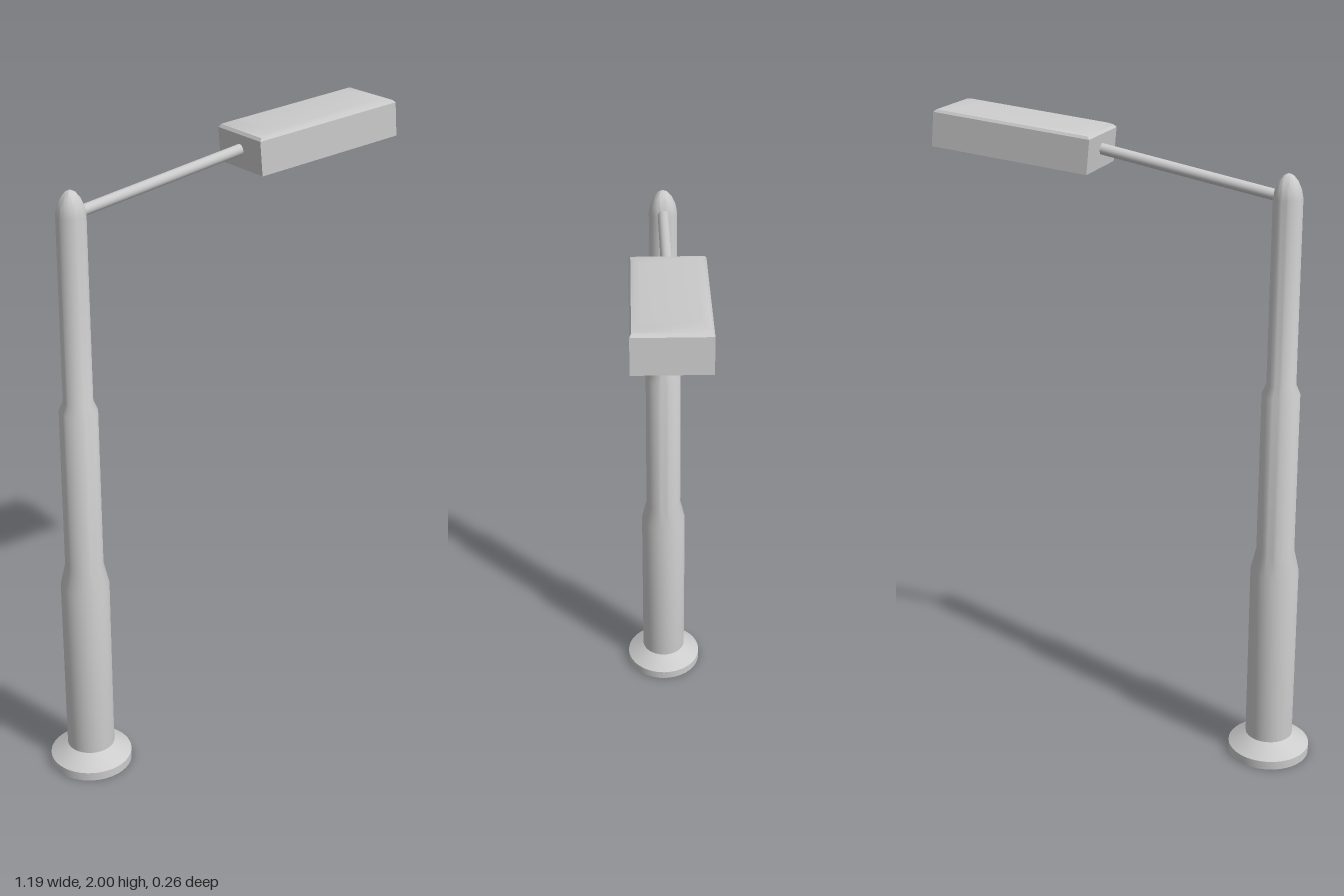
import * as THREE from 'three';
import { toCreasedNormals } from 'three/addons/utils/BufferGeometryUtils.js';

const material = new THREE.MeshStandardMaterial({ color: 0xcccccc });
const POLE_X = -0.47;

function addMesh(parent, name, geometry) {
  const mesh = new THREE.Mesh(geometry, material);
  mesh.name = name;
  parent.add(mesh);
  return mesh;
}

// Solid of revolution from [radius, height] pairs
function lathe(profile, crease) {
  const points = profile.map(([r, y]) => new THREE.Vector2(r, y));
  return toCreasedNormals(new THREE.LatheGeometry(points, 40), crease);
}

// Skin through rectangular rings [halfX, y, halfZ], closed by the first and last ring
function rectLoft(rings) {
  const positions = [];
  const index = [];
  for (const [hx, y, hz] of rings) {
    positions.push(-hx, y, hz, hx, y, hz, hx, y, -hz, -hx, y, -hz);
  }
  for (let r = 0; r < rings.length - 1; r++) {
    for (let i = 0; i < 4; i++) {
      const a = r * 4 + i, b = r * 4 + (i + 1) % 4;
      index.push(a, b, b + 4, a, b + 4, a + 4);
    }
  }
  const t = (rings.length - 1) * 4;
  index.push(0, 2, 1, 0, 3, 2, t, t + 1, t + 2, t, t + 2, t + 3);
  const geometry = new THREE.BufferGeometry();
  geometry.setAttribute('position', new THREE.Float32BufferAttribute(positions, 3));
  geometry.setIndex(index);
  return toCreasedNormals(geometry, 0.5);
}

export function createModel() {
  const model = new THREE.Group();
  model.name = 'streetLamp';

  // Round foot with a sloping shoulder
  addMesh(model, 'basePlate', lathe(
    [[0, 0], [0.128, 0], [0.128, 0.028], [0.068, 0.066], [0, 0.066]], 0.4
  )).position.x = POLE_X;

  // Pole stepping in twice, ending in a pointed dome
  addMesh(model, 'pole', lathe([
    [0, 0.06], [0.074, 0.066], [0.074, 0.64], [0.058, 0.71], [0.057, 1.215],
    [0.044, 1.245], [0.043, 1.8], [0.038, 1.825], [0.028, 1.848],
    [0.015, 1.864], [0.006, 1.869], [0, 1.87],
  ], 0.6)).position.x = POLE_X;

  // Slanted arm
  const start = new THREE.Vector3(-0.432, 1.806, 0);
  const end = new THREE.Vector3(0.13, 1.904, 0);
  const direction = end.clone().sub(start);
  const arm = addMesh(model, 'arm',
    new THREE.CylinderGeometry(0.0165, 0.0165, direction.length(), 20));
  arm.position.copy(start).add(end).multiplyScalar(0.5);
  arm.quaternion.setFromUnitVectors(new THREE.Vector3(0, 1, 0), direction.normalize());

  // Lamp housing: recessed underside, thin rim, walls and pillowed top
  const hx = 0.2485, hz = 0.105, rim = 0.008, wall = 0.102;
  const housing = addMesh(model, 'lampHousing', rectLoft([
    [hx - rim, 0.05, hz - rim],
    [hx - rim, 0, hz - rim],
    [hx, 0, hz],
    [hx, wall, hz],
    [hx - 0.008, wall + 0.008, hz - 0.005],
    [hx - 0.025, wall + 0.012, hz - 0.014],
    [hx - 0.07, wall + 0.014, hz - 0.03],
  ]));
  housing.position.set(0.3475, 1.865, 0);
  housing.rotation.z = 0.096;

  return model;
}
